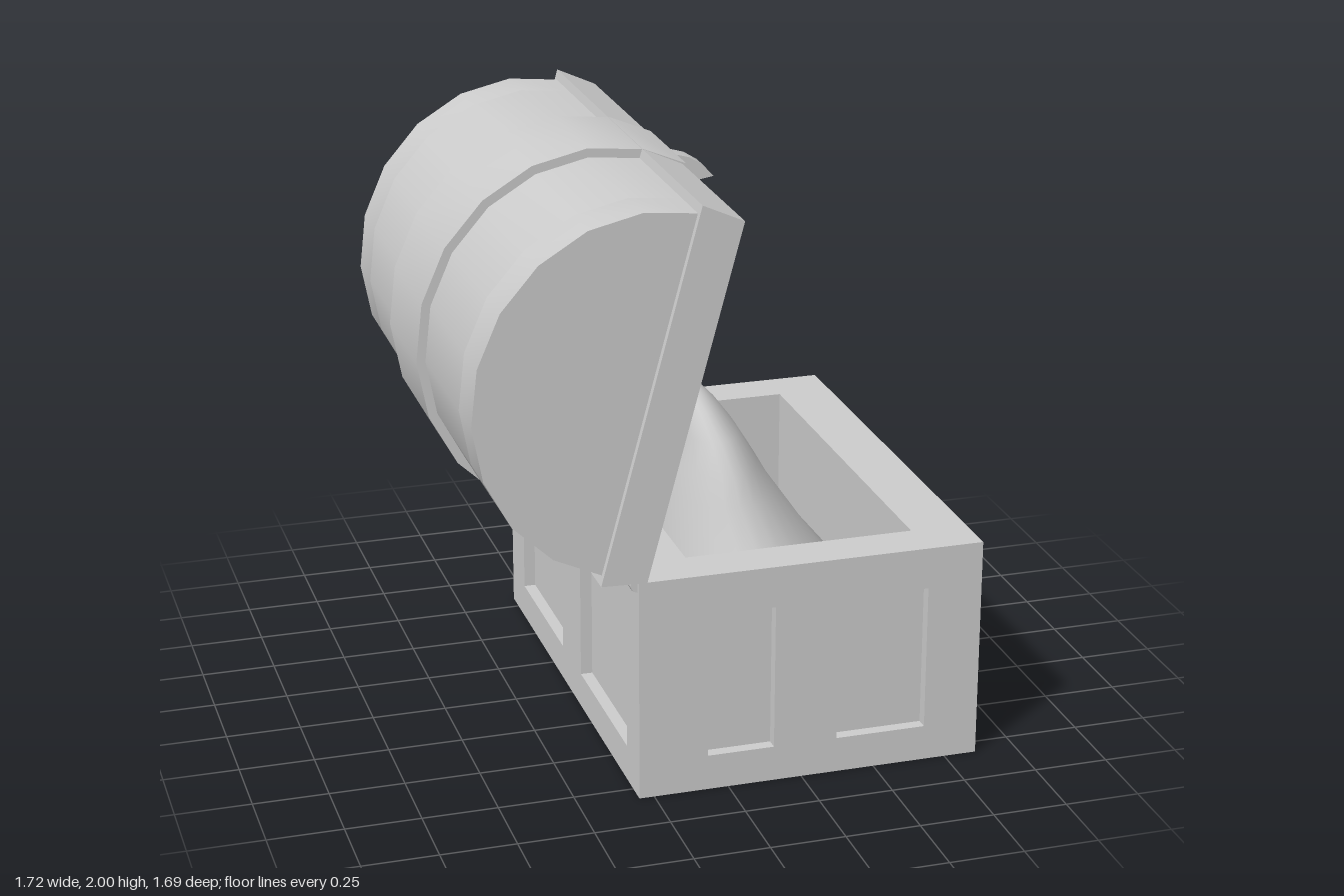
import * as THREE from 'three';
import { toCreasedNormals } from 'three/addons/utils/BufferGeometryUtils.js';

const material = new THREE.MeshStandardMaterial({ color: 0xcccccc });

function add(parent, name, geometry, x = 0, y = 0, z = 0) {
  const mesh = new THREE.Mesh(geometry, material);
  mesh.name = name;
  mesh.position.set(x, y, z);
  parent.add(mesh);
  return mesh;
}

// Skin between loops of points, each running counter-clockwise about the loft direction.
function loft(rings, { capStart = false, capEnd = false, smooth = false } = {}) {
  const n = rings[0].length;
  const index = [];
  for (let i = 0; i < rings.length - 1; i++) {
    for (let j = 0; j < n; j++) {
      const k = (j + 1) % n;
      const a = i * n + j, b = i * n + k, c = b + n, d = a + n;
      index.push(a, b, c, a, c, d);
    }
  }
  const last = (rings.length - 1) * n;
  for (let j = 1; j < n - 1; j++) {
    if (capStart) index.push(0, j + 1, j);
    if (capEnd) index.push(last, last + j, last + j + 1);
  }
  const geometry = new THREE.BufferGeometry();
  geometry.setAttribute('position', new THREE.Float32BufferAttribute(rings.flat(2), 3));
  geometry.setIndex(index);
  const result = smooth ? geometry : geometry.toNonIndexed();
  result.computeVertexNormals();
  return result;
}

const corners = (a0, a1, b0, b1) => [[a1, b1], [a0, b1], [a0, b0], [a1, b0]];
const rectAtY = (y, x0, x1, z) => corners(-z, z, x0, x1).map(([c, x]) => [x, y, c]);
const rectAtX = (x, y0, y1, z) => corners(y0, y1, -z, z).map(([y, c]) => [x, y, c]);

function polygon(points) {
  return new THREE.Shape(points.map(([x, y]) => new THREE.Vector2(x, y)));
}

function extrude(shape, z0, z1) {
  const geometry = new THREE.ExtrudeGeometry(shape, { depth: z1 - z0, bevelEnabled: false });
  geometry.translate(0, 0, z0);
  return toCreasedNormals(geometry, Math.PI / 6);
}

// Wall with rectangular window holes that read as recessed panels.
function panelWall(x0, x1, spans) {
  const shape = polygon([[x0, 0], [x1, 0], [x1, 0.755], [x0, 0.755]]);
  for (const [a, b] of spans) {
    shape.holes.push(polygon([[a, 0.12], [a, 0.615], [b, 0.615], [b, 0.12]]));
  }
  return extrude(shape, 0, 0.04);
}

// Half-ellipse of the lid, from the hinge side to the latch side.
function arc(ry, rx) {
  return Array.from({ length: 11 }, (_, i) => {
    const t = (i / 10) * Math.PI;
    return [-0.14 - rx * Math.sin(t), 0.593 - ry * Math.cos(t)];
  });
}

function createChest() {
  const chest = new THREE.Group();
  chest.name = 'chest';
  add(chest, 'chestCore', loft([
    rectAtY(0, -0.26, 0.82, 0.78),
    rectAtY(0.755, -0.26, 0.82, 0.78),
    rectAtY(0.755, -0.1, 0.67, 0.665),
    rectAtY(0.1, -0.1, 0.67, 0.665),
  ], { capStart: true, capEnd: true }));

  const ends = panelWall(-0.3, 0.86, [[-0.07, 0.155], [0.37, 0.675]]);
  add(chest, 'frontWall', ends, 0, 0, 0.78);
  add(chest, 'backWall', ends, 0, 0, -0.82);

  const sides = panelWall(-0.78, 0.78, [[-0.655, -0.12], [0.115, 0.68]]);
  add(chest, 'leftWall', sides, 0.86).rotation.y = -Math.PI / 2;
  add(chest, 'rightWall', sides, -0.26).rotation.y = -Math.PI / 2;

  for (const s of [-1, 1]) {
    const hinge = new THREE.CylinderGeometry(0.026, 0.026, 0.15, 8).rotateX(Math.PI / 2);
    add(chest, 'hinge', hinge, -0.298, 0.742, s * 0.73);
  }
  return chest;
}

// Lid in its own frame: hinge at the origin, opening facing +x, then tilted back.
function createLid() {
  const lid = new THREE.Group();
  lid.name = 'lid';
  lid.position.set(-0.28, 0.765, 0);
  lid.rotation.z = -Math.PI / 12;

  // Flared rim and the tapered hollow inside
  add(lid, 'rimAndHollow', loft([
    rectAtX(-0.146, 0.03, 1.16, 0.7),
    rectAtX(-0.146, -0.034, 1.22, 0.845),
    rectAtX(0, 0, 1.196, 0.845),
    rectAtX(0, 0.083, 1.123, 0.64),
    rectAtX(-0.4, 0.112, 1.085, 0.55),
  ], { capEnd: true }));

  // Domed shell with solid ends
  const outer = arc(0.597, 0.565);
  const notch = [[-0.14, 1.14], [-0.41, 1.1], [-0.41, 0.1], [-0.14, 0.07]];
  add(lid, 'dome', extrude(polygon([...outer, ...notch]), -0.66, 0.66));
  add(lid, 'domeEnd', extrude(polygon(outer), 0.66, 0.823));
  add(lid, 'domeEnd', extrude(polygon(outer), -0.823, -0.66));

  // Raised strap wrapping over the middle and round the rim
  add(lid, 'strap', extrude(polygon([
    ...arc(0.627, 0.595),
    [0.012, 1.2], [0.012, 1.104], [-0.03, 1.104], [-0.03, 1.16],
    ...arc(0.58, 0.55).reverse(),
    [-0.03, 0.03], [-0.03, 0.089], [0.012, 0.089], [0.012, 0],
  ]), -0.2, 0.2));
  return lid;
}

// Heaped contents: [y, x min, x max, z min, z max] for each level
function createMound() {
  const levels = [
    [0.1, -0.09, 0.67, -0.66, 0.65],
    [0.3, -0.07, 0.67, -0.655, 0.64],
    [0.44, -0.05, 0.62, -0.57, 0.56],
    [0.56, -0.03, 0.52, -0.47, 0.46],
    [0.755, 0.0, 0.385, -0.365, 0.335],
    [0.85, 0.035, 0.33, -0.325, 0.3],
    [0.95, 0.052, 0.27, -0.27, 0.22],
    [1.03, 0.06, 0.21, -0.19, 0.14],
    [1.07, 0.07, 0.172, -0.11, 0.07],
    [1.087, 0.1, 0.145, -0.04, 0.01],
  ];
  const n = 24;
  const rings = levels.map(([y, x0, x1, z0, z1], i) => {
    const power = i < 2 ? 0.65 : 1; // squarer where it meets the walls
    const bulge = (v) => Math.sign(v) * Math.abs(v) ** power;
    return Array.from({ length: n }, (_, j) => {
      const t = (j / n) * Math.PI * 2;
      return [
        (x0 + x1) / 2 + ((x1 - x0) / 2) * bulge(Math.sin(t)),
        y,
        (z0 + z1) / 2 + ((z1 - z0) / 2) * bulge(Math.cos(t)),
      ];
    });
  });
  return loft(rings, { capEnd: true, smooth: true });
}

export function createModel() {
  const model = new THREE.Group();
  model.name = 'openChest';
  model.add(createChest(), createLid());
  add(model, 'mound', createMound());

  // Hooked latch at the lip of the lid
  add(model, 'latch', extrude(polygon([
    [0, 1.83], [0.05, 1.825], [0.068, 1.8], [0.187, 1.82],
    [0.15, 1.862], [0.105, 1.89], [0.035, 1.91], [0, 1.9],
  ]), -0.035, 0.035));
  return model;
}
